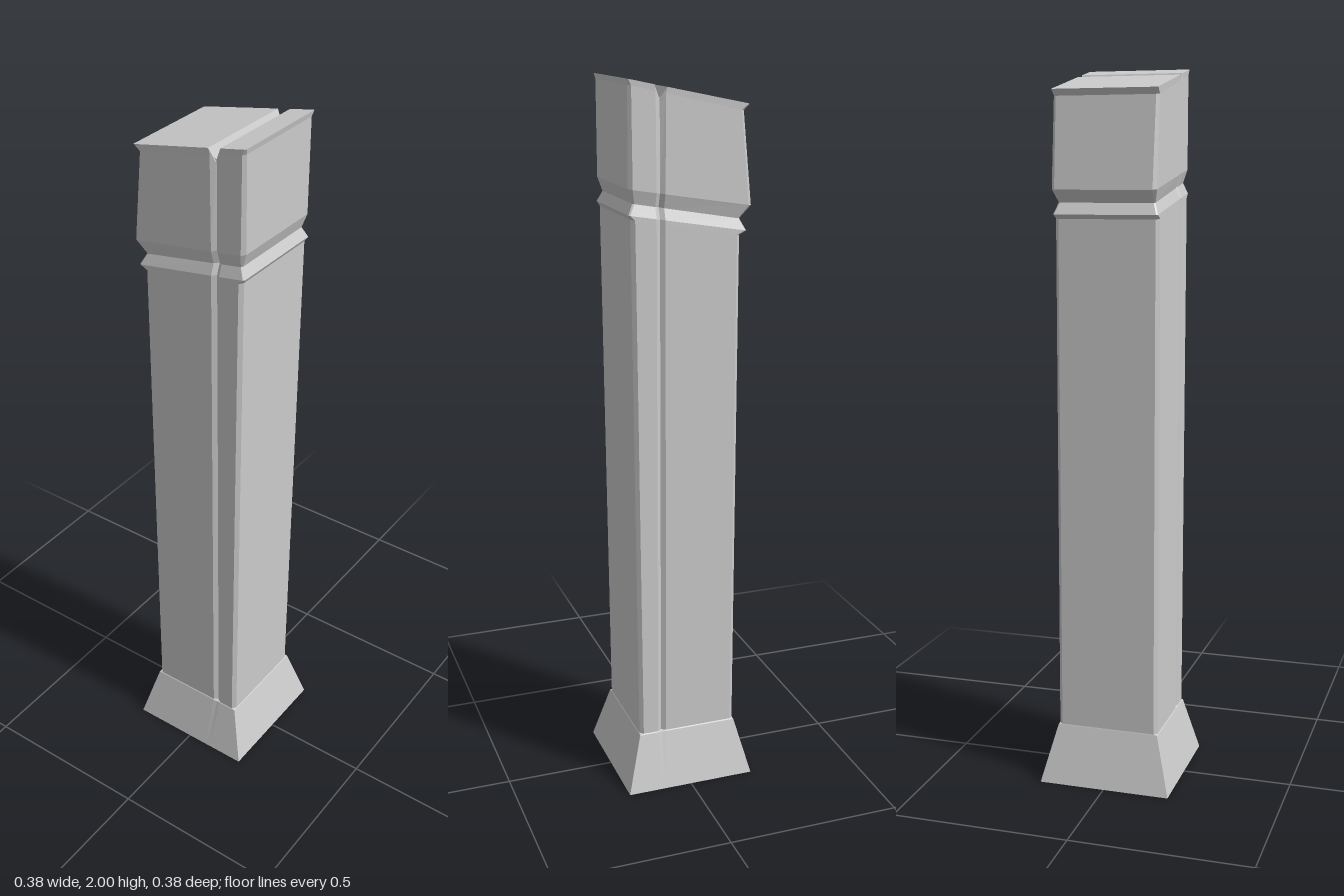
import * as THREE from 'three';

const GX = 0.075; // x of the vertical V groove

// Closed 14-point section: chamfered rectangle, V groove front and back,
// slanted from height yL on the left edge to yR on the right edge.
function section({ xL, xR, yL, yR, z, c, g = 0.009, w = 0.012, dip = 0 }) {
  const front = [
    [xL, z - c], [xL + c, z], [GX - w, z], [GX, z - g],
    [GX + w, z], [xR - c, z], [xR, z - c],
  ].map(([x, pz], i) => new THREE.Vector3(
    x, yL + (yR - yL) * (x - xL) / (xR - xL) - (i === 3 ? dip : 0), pz));
  const back = front.map((p) => new THREE.Vector3(p.x, p.y, -p.z)).reverse();
  return [...front, ...back];
}

// Skins the sections bottom to top, with optional end caps.
function loft(name, specs, capBottom, capTop, material) {
  const loops = specs.map(section);
  const pos = [];
  const quad = (a, b, c, d) => {
    for (const p of [a, b, c, a, c, d]) pos.push(p.x, p.y, p.z);
  };
  for (let k = 0; k < loops.length - 1; k++) {
    const lo = loops[k], hi = loops[k + 1];
    for (let i = 0; i < 14; i++) {
      const j = (i + 1) % 14;
      quad(lo[i], lo[j], hi[j], hi[i]);
    }
  }
  const b = loops[0], t = loops[loops.length - 1];
  for (let i = 0; i < 6; i++) {
    if (capTop) quad(t[i], t[i + 1], t[12 - i], t[13 - i]);
    if (capBottom) quad(b[13 - i], b[12 - i], b[i + 1], b[i]);
  }
  const geo = new THREE.BufferGeometry();
  geo.setAttribute('position', new THREE.Float32BufferAttribute(pos, 3));
  geo.computeVertexNormals();
  const mesh = new THREE.Mesh(geo, material);
  mesh.name = name;
  return mesh;
}

export function createModel() {
  const group = new THREE.Group();
  group.name = 'stonePillar';
  const mat = new THREE.MeshStandardMaterial({ color: 0xcccccc, flatShading: true });

  // Sections shared between neighbouring parts
  const foot = { xL: -0.188, xR: 0.188, yL: 0, yR: 0, z: 0.188, c: 0, g: 0 };
  const footTop = { xL: -0.147, xR: 0.143, yL: 0.163, yR: 0.163, z: 0.147, c: 0.001, g: 0.001 };
  const shaftBottom = { xL: -0.146, xR: 0.141, yL: 0.166, yR: 0.166, z: 0.145, c: 0.01 };
  const shaftTop = { xL: -0.146, xR: 0.155, yL: 1.595, yR: 1.65, z: 0.145, c: 0.01 };
  const lip = { xL: -0.163, xR: 0.162, yL: 1.607, yR: 1.662, z: 0.145, c: 0.004 };
  const seam = { xL: -0.147, xR: 0.148, yL: 1.638, yR: 1.69, z: 0.134, c: 0.004 };
  const headBottom = { xL: -0.178, xR: 0.161, yL: 1.672, yR: 1.728, z: 0.145, c: 0.01 };
  const headTop = { xL: -0.153, xR: 0.161, yL: 1.915, yR: 1.985, z: 0.145, c: 0.008, w: 0.014, dip: 0.015 };
  const brow = { xL: -0.167, xR: 0.164, yL: 1.932, yR: 2, z: 0.146, c: 0.003, g: 0.007, w: 0.0175, dip: 0.038 };

  group.add(
    loft('flaredBase', [foot, footTop, shaftBottom], true, false, mat),
    loft('shaft', [shaftBottom, shaftTop, lip], false, false, mat),
    loft('neckSeam', [lip, seam, headBottom], false, false, mat),
    loft('slantedHead', [headBottom, headTop, brow], false, true, mat),
  );
  return group;
}
